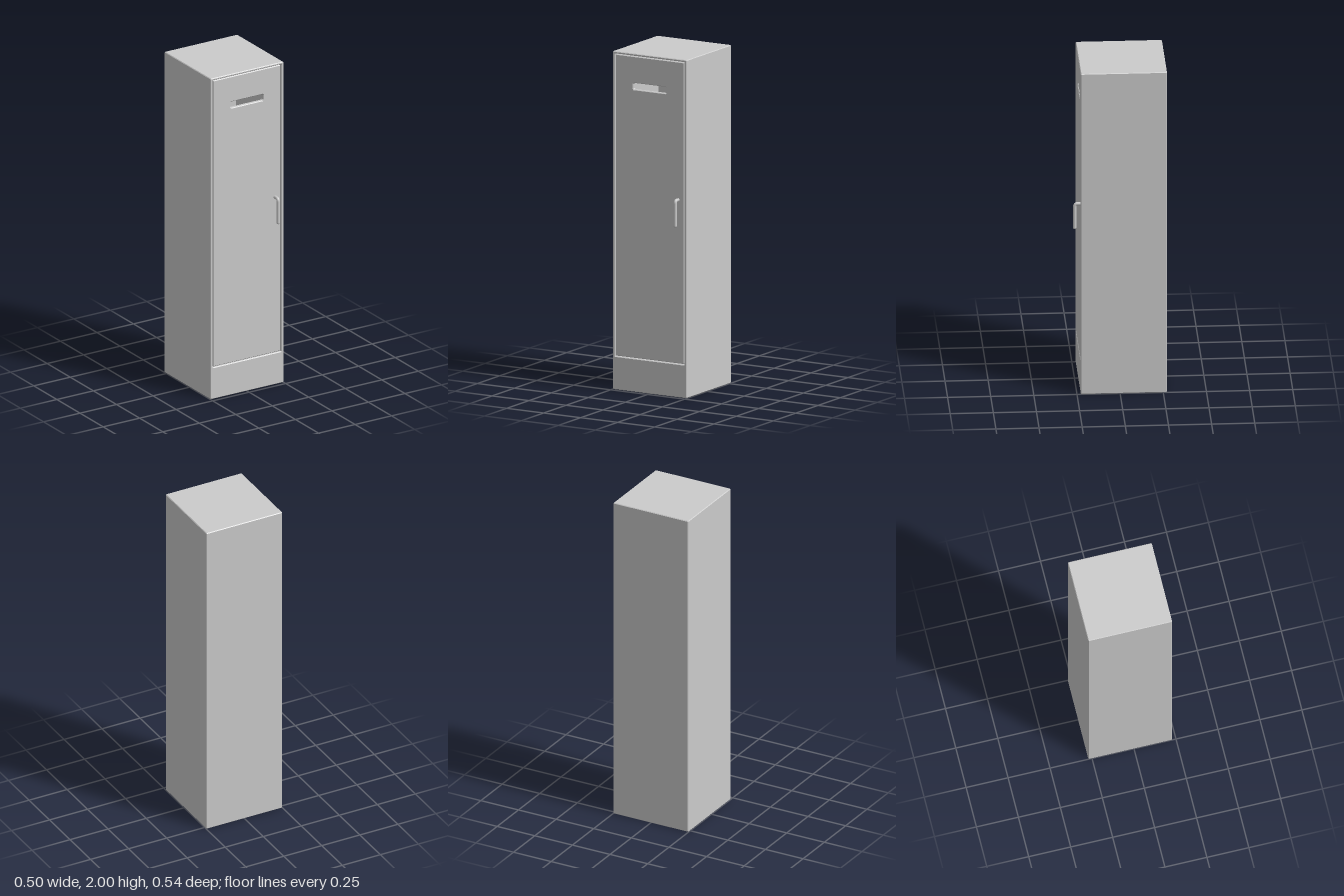
import * as THREE from 'three';

const material = new THREE.MeshStandardMaterial({ color: 0xcccccc });
const BEVEL = 0.004;

// Rectangle outline with cut corners
function cutRect(target, x0, x1, y0, y1, c) {
  target.setFromPoints([
    [x0 + c, y0], [x1 - c, y0], [x1, y0 + c], [x1, y1 - c],
    [x1 - c, y1], [x0 + c, y1], [x0, y1 - c], [x0, y0 + c],
  ].map(([x, y]) => new THREE.Vector2(x, y)));
  target.closePath();
  return target;
}

// Bevelled slab with a hole, between two depths
function slab(name, outline, hole, z0, z1) {
  outline.holes.push(hole);
  const geometry = new THREE.ExtrudeGeometry(outline, {
    depth: z1 - z0 - 2 * BEVEL, bevelEnabled: true, bevelThickness: BEVEL,
    bevelSize: BEVEL, bevelOffset: -BEVEL, bevelSegments: 1,
  });
  geometry.translate(0, 0, z0 + BEVEL);
  return part(name, geometry);
}

function part(name, geometry) {
  const mesh = new THREE.Mesh(geometry, material);
  mesh.name = name;
  return mesh;
}

export function createModel() {
  const locker = new THREE.Group();
  locker.name = 'locker';
  const back = -0.272, front = 0.228;

  // Hollow cabinet with a solid plinth under the door opening
  locker.add(slab('cabinet',
    cutRect(new THREE.Shape(), -0.25, 0.25, 0, 2, 0.004),
    cutRect(new THREE.Path(), -0.234, 0.234, 0.196, 1.987, 0.002),
    back, front));

  // Panel closing the back of the cabinet
  const panel = part('backPanel', new THREE.BoxGeometry(0.476, 1.799, 0.012));
  panel.position.set(0, 1.0915, back + 0.006);
  locker.add(panel);

  // Door with an open vent slot
  locker.add(slab('door',
    cutRect(new THREE.Shape(), -0.23, 0.23, 0.2, 1.983, 0.002),
    cutRect(new THREE.Path(), -0.113, 0.113, 1.787, 1.826, 0.006),
    front - 0.026, front - 0.002));

  // Bent handle: an arm out of the door turning down into a grip
  const handle = new THREE.Group();
  handle.name = 'handle';
  const x = 0.192, grip = 0.26, r = 0.01;
  const p = (y, z) => new THREE.Vector3(x, y, z);
  const path = new THREE.CurvePath();
  path.add(new THREE.LineCurve3(p(1.168, 0.215), p(1.168, 0.245)));
  path.add(new THREE.QuadraticBezierCurve3(p(1.168, 0.245), p(1.168, grip), p(1.15, grip)));
  path.add(new THREE.LineCurve3(p(1.15, grip), p(1.02, grip)));
  handle.add(part('handleBar', new THREE.TubeGeometry(path, 40, r, 12)));
  const tip = part('handleTip', new THREE.SphereGeometry(r, 12, 8));
  tip.position.copy(p(1.02, grip));
  handle.add(tip);
  locker.add(handle);

  return locker;
}
